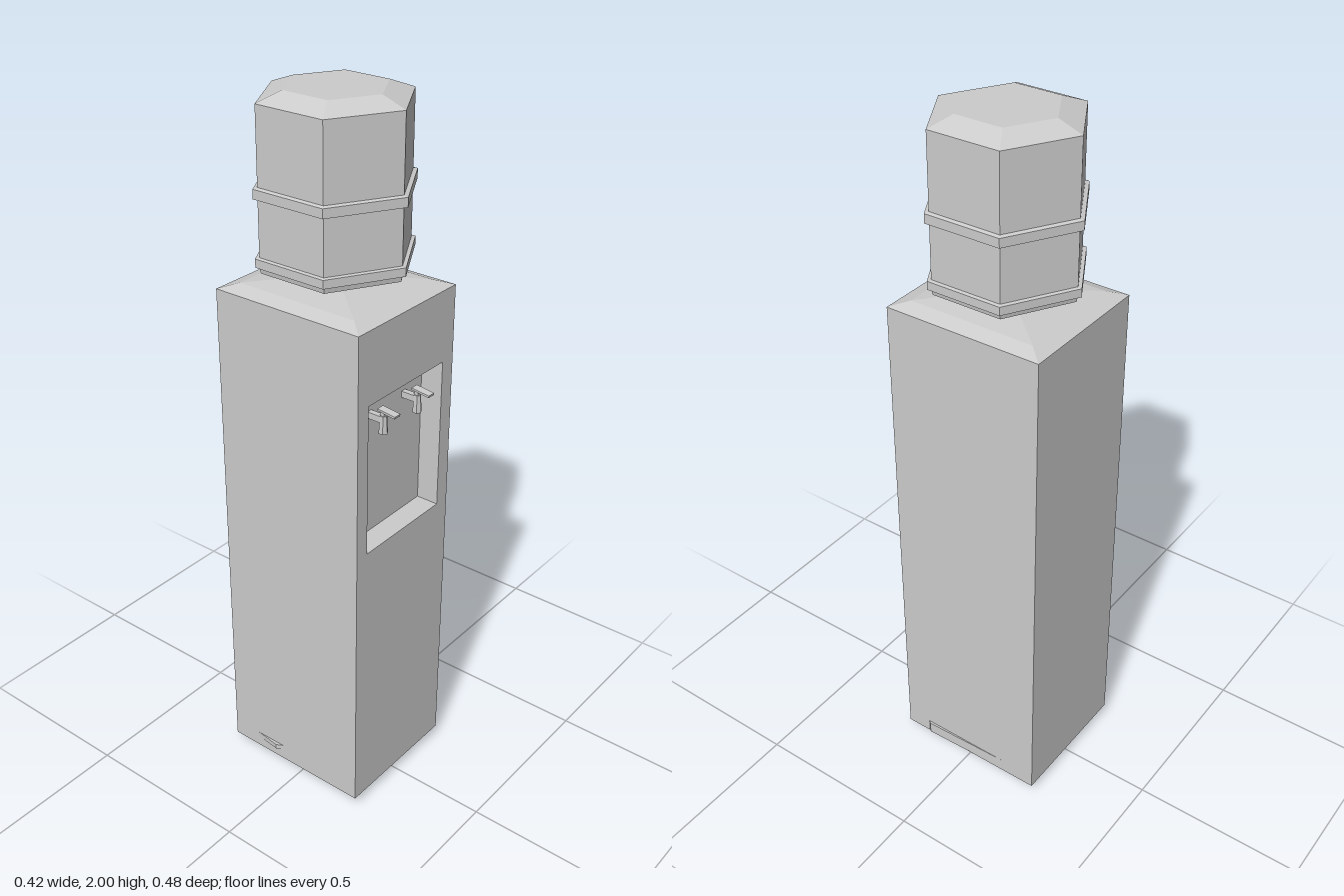
import * as THREE from 'three';

const CZ = -0.0125; // depth centre shared by cabinet and bottle

export function createModel() {
  const grey = new THREE.MeshStandardMaterial({ color: 0xcccccc, flatShading: true });
  grey.name = 'light grey';
  const group = new THREE.Group();

  const add = (name, geometry, x = 0, y = 0, z = 0, parent = group) => {
    const mesh = new THREE.Mesh(geometry, grey);
    mesh.name = name;
    mesh.position.set(x, y, z);
    parent.add(mesh);
    return mesh;
  };

  // Box whose top is narrowed to w2 x d2
  const frustum = (w, d, h, w2, d2) => {
    const g = new THREE.BoxGeometry(w, h, d);
    const p = g.attributes.position;
    for (let i = 0; i < p.count; i++) {
      if (p.getY(i) > 0) p.setXYZ(i, Math.sign(p.getX(i)) * w2 / 2, h / 2, Math.sign(p.getZ(i)) * d2 / 2);
    }
    g.computeVertexNormals();
    return g;
  };

  // Six-sided turned body from [radius, height] pairs, bottom to top
  const hexLathe = (profile) =>
    new THREE.LatheGeometry(profile.map(([r, y]) => new THREE.Vector2(r, y)), 6);

  // Rectangle as a path
  const rect = (path, x0, y0, x1, y1) => {
    path.moveTo(x0, y0);
    path.lineTo(x1, y0);
    path.lineTo(x1, y1);
    path.lineTo(x0, y1);
    path.closePath();
    return path;
  };

  // Cabinet: solid rear and a front frame around the dispensing recess
  add('cabinetBody', new THREE.BoxGeometry(0.4, 1.46, 0.39), 0, 0.76, -0.045);
  const front = rect(new THREE.Shape(), -0.2, 0.03, 0.2, 1.49);
  front.holes.push(rect(new THREE.Path(), -0.158, 0.855, 0.155, 1.288));
  add('cabinetFront', new THREE.ExtrudeGeometry(front, { depth: 0.065, bevelEnabled: false }), 0, 0, 0.15);

  // Bevelled lid in two slopes
  add('lidEdge', frustum(0.4, 0.455, 0.015, 0.32, 0.365), 0, 1.4975, CZ);
  add('lidCrown', frustum(0.32, 0.365, 0.012, 0.14, 0.16), 0, 1.511, CZ);

  // Six-sided foot under the cabinet
  add('base', hexLathe([[0, 0], [0.137, 0], [0.205, 0.025], [0.205, 0.04]]), 0, 0, CZ);

  // Water bottle with two raised bands
  add('bottle', hexLathe([
    [0.03, 1.5], [0.03, 1.527], [0.2, 1.555], [0.203, 1.57],
    [0.214, 1.572], [0.214, 1.595], [0.203, 1.597],
    [0.203, 1.744], [0.215, 1.747], [0.215, 1.772], [0.203, 1.775],
    [0.203, 1.975], [0.135, 2.0], [0, 2.0],
  ]), 0.002, 0, CZ);

  // Taps in the recess
  for (const x of [-0.07, 0.075]) {
    const tap = new THREE.Group();
    tap.name = x > 0 ? 'leftTap' : 'rightTap';
    tap.position.set(x, 0, 0);
    group.add(tap);
    add('tapPipe', new THREE.BoxGeometry(0.016, 0.018, 0.05), 0, 1.209, 0.173, tap);
    add('tapSpout', new THREE.CylinderGeometry(0.01, 0.013, 0.05, 6), 0, 1.195, 0.195, tap);
    add('tapStem', new THREE.BoxGeometry(0.012, 0.016, 0.012), 0, 1.226, 0.195, tap);
    add('tapLever', new THREE.BoxGeometry(0.023, 0.006, 0.055), 0, 1.234, 0.211, tap).rotation.x = 0.12;
  }

  // Thin wedges low on the cabinet sides; outlines are [x, z]
  const wedge = (name, outline, height, top) => {
    const shape = new THREE.Shape(outline.map(([x, z]) => new THREE.Vector2(x, z)));
    const g = new THREE.ExtrudeGeometry(shape, { depth: height, bevelEnabled: false });
    add(name, g.rotateX(Math.PI / 2), 0, top, 0);
  };
  wedge('leftSideWedge', [[0.19, -0.13], [0.2, -0.13], [0.207, 0.13], [0.199, 0.14]], 0.035, 0.07);
  wedge('rightSideWedge', [[-0.199, -0.16], [-0.199, -0.055], [-0.21, -0.075]], 0.015, 0.078);

  return group;
}
